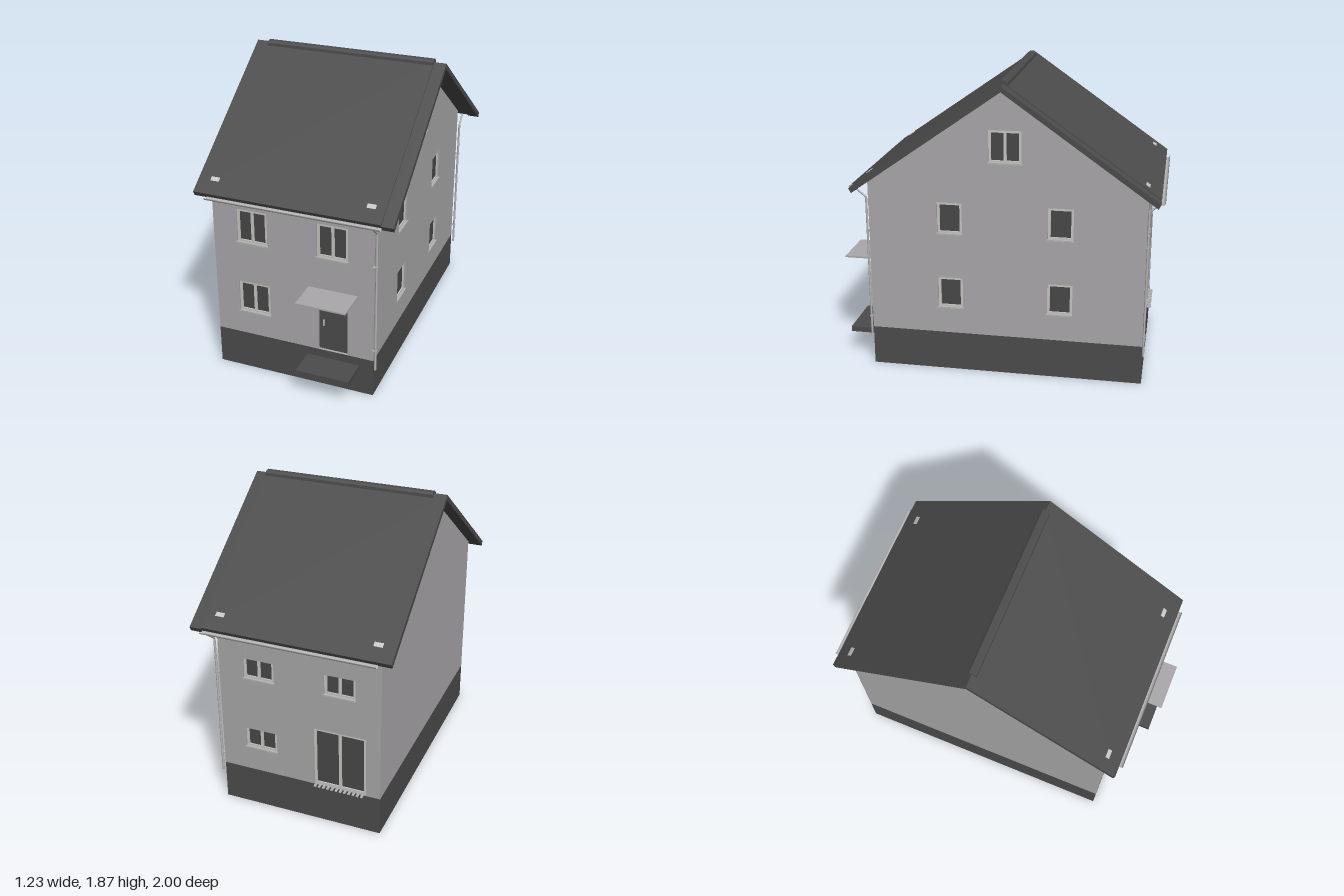
import * as THREE from 'three';

const mat = (name, color, side = THREE.FrontSide) => {
  const m = new THREE.MeshStandardMaterial({ color, side });
  m.name = name;
  return m;
};

export function createModel() {
  const plaster = mat('plaster', 0xaaa8aa);
  const dark = mat('dark grey', 0x4c4c4c);
  const glass = mat('glass', 0x484848);
  const frameMat = mat('window frame', 0xc6c6c2);
  const metal = mat('zinc', 0xb4b4b4, THREE.DoubleSide);

  const house = new THREE.Group();
  house.name = 'house';
  const add = (parent, name, geo, m, x = 0, y = 0, z = 0) => {
    const mesh = new THREE.Mesh(geo, m);
    mesh.name = name;
    mesh.position.set(x, y, z);
    parent.add(mesh);
    return mesh;
  };
  // box given by its extents
  const block = (parent, name, m, x0, x1, y0, y1, z0, z1) =>
    add(parent, name, new THREE.BoxGeometry(x1 - x0, y1 - y0, z1 - z0), m,
      (x0 + x1) / 2, (y0 + y1) / 2, (z0 + z1) / 2);
  const poly = (pts) => new THREE.Shape(pts.map(([x, y]) => new THREE.Vector2(x, y)));
  const rect = (x0, x1, y0, y1) => poly([[x0, y0], [x1, y0], [x1, y1], [x0, y1]]);
  const extrude = (shape, depth) => new THREE.ExtrudeGeometry(shape, { depth, bevelEnabled: false });

  const X0 = -0.54, X1 = 0.48, Z0 = -0.9, Z1 = 0.8, BASE = 0.25, RIDGE = -0.05;

  // plinth
  block(house, 'plinth', dark, X0, X1, 0, BASE, Z0, Z1);

  // window or glazed door set back in its opening, in wall coordinates
  const RECESS = 0.018;
  function addWindow(wall, { x0, x1, y0, y1, panes = 2, shutter = false, sill = true }) {
    const g = new THREE.Group();
    g.name = 'window';
    wall.add(g);
    const b = 0.016, mull = 0.018;
    const frame = rect(x0, x1, y0, y1);
    const pw = (x1 - x0 - 2 * b - (panes - 1) * mull) / panes;
    for (let i = 0; i < panes; i++) {
      const px = x0 + b + i * (pw + mull);
      frame.holes.push(rect(px, px + pw, y0 + b, y1 - b));
    }
    add(g, 'frame', extrude(frame, 0.01), frameMat, 0, 0, -RECESS);
    block(g, 'panes', glass, x0, x1, y0, y1, -RECESS - 0.006, -RECESS + 0.002);
    if (shutter) block(g, 'rollerShutter', plaster, x0, x1, y1 - (y1 - y0) * 0.42, y1, -RECESS, -0.004);
    if (sill) block(g, 'sill', metal, x0 - 0.006, x1 + 0.006, y0 - 0.006, y0 + 0.004, -RECESS, 0.008);
  }

  // wall panel with openings; outer face lies on local z = 0
  function addWall(name, outline, openings, pos, turn) {
    const g = new THREE.Group();
    g.name = name;
    g.position.set(...pos);
    g.rotation.y = turn;
    house.add(g);
    const shape = poly(outline);
    openings.forEach((o) => shape.holes.push(rect(o.x0, o.x1, o.y0, o.y1)));
    add(g, 'wallPanel', extrude(shape, 0.04), plaster, 0, 0, -0.04);
    openings.filter((o) => !o.door).forEach((o) => addWindow(g, o));
    return g;
  }
  const open = (x0, x1, y0, y1, extra = {}) => ({ x0, x1, y0, y1, ...extra });

  const EAVE = 1.235;
  const long = (a, b) => [[a, BASE], [b, BASE], [b, EAVE], [a, EAVE]];
  const gable = (a, b, mid) => [[a, BASE], [b, BASE], [b, EAVE], [mid, 1.835], [a, EAVE]];

  const front = addWall('frontWall', long(X0, X1), [
    open(-0.385, -0.19, 0.89, 1.11),
    open(0.125, 0.32, 0.89, 1.11),
    open(-0.39, -0.185, 0.41, 0.62),
    open(0.13, 0.315, 0.252, 0.615, { door: true }),
  ], [0, 0, Z1], 0);

  const back = addWall('backWall', long(-X1, -X0), [
    open(-0.32, -0.125, 0.89, 1.11, { shutter: true }),
    open(0.19, 0.385, 0.89, 1.11, { shutter: true }),
    open(-0.325, -0.12, 0.41, 0.63, { shutter: true }),
    open(0.12, 0.45, 0.252, 0.645, { sill: false }),
  ], [0, 0, Z0], Math.PI);

  const sideWindows = [open(-0.15 + 0.1, 0.15, 1.365, 1.565)];
  for (const [y0, y1] of [[0.905, 1.105], [0.42, 0.62]])
    for (const x0 of [-0.37, 0.31])
      sideWindows.push(open(x0, x0 + 0.155, y0, y1, { panes: 1 }));
  addWall('windowGable', gable(-Z1, -Z0, -RIDGE), sideWindows, [X1, 0, 0], Math.PI / 2);
  addWall('blankGable', gable(Z0, Z1, RIDGE), [], [X0, 0, 0], -Math.PI / 2);

  // entrance: door, handle, canopy and step
  block(front, 'frontDoor', dark, 0.13, 0.315, 0.252, 0.615, -0.03, -0.014);
  block(front, 'doorHandle', metal, 0.157, 0.165, 0.42, 0.46, -0.014, -0.004);
  block(house, 'canopy', plaster, 0.07, 0.38, 0.67, 0.68, Z1, 1.0);
  block(house, 'step', dark, 0.055, 0.39, 0.16, 0.195, Z1, 0.98);

  // slatted threshold under the terrace door
  for (let i = 0; i < 12; i++) {
    const x = 0.125 + i * 0.027;
    block(back, 'thresholdSlat', metal, x, x + 0.014, 0.246, 0.252, 0, 0.025);
  }

  // roof: chevron profile run along x
  function ridgeRun(name, pts, x0, x1) {
    const outline = [...pts, ...pts.slice().reverse().filter(([u]) => u !== 0).map(([u, y]) => [-u, y])];
    const geo = extrude(poly(outline), x1 - x0);
    geo.rotateY(Math.PI / 2);
    add(house, name, geo, dark, x0, 0, RIDGE);
  }
  const section = (d) => poly([
    [0, 1.86 - d], [-0.925, 1.213 - d], [-0.91, 1.184 - d], [0, 1.825 - d],
    [0.91, 1.184 - d], [0.925, 1.213 - d],
  ]);
  const roofPart = (name, x0, x1, d) => {
    const geo = extrude(section(d), x1 - x0);
    geo.rotateY(Math.PI / 2);
    add(house, name, geo, dark, x0, 0, RIDGE);
  };
  roofPart('roof', -0.62, 0.54, 0);
  roofPart('verge', 0.54, 0.613, 0.008);
  ridgeRun('ridgeCap', [[0.03, 1.84], [0.028, 1.858], [0.014, 1.87]], -0.54, 0.54);

  // bar between two points
  function pipe(name, a, b, r) {
    const p = new THREE.Vector3(...a), q = new THREE.Vector3(...b);
    const d = q.clone().sub(p);
    const mesh = add(house, name, new THREE.CylinderGeometry(r, r, d.length(), 10), metal);
    mesh.position.copy(p).add(q).multiplyScalar(0.5);
    mesh.quaternion.setFromUnitVectors(new THREE.Vector3(0, 1, 0), d.normalize());
  }

  // gutters, downpipes and roof plates on both eaves
  for (const s of [1, -1]) {
    const wallZ = RIDGE + s * 0.856, gutterZ = RIDGE + s * 0.93;
    const gutter = new THREE.CylinderGeometry(0.018, 0.018, 1.08, 12, 1, true, Math.PI, Math.PI);
    gutter.rotateZ(Math.PI / 2);
    add(house, 'gutter', gutter, metal, 0, 1.195, gutterZ);
    pipe('downpipeElbow', [0.495, 1.18, gutterZ], [0.495, 1.12, wallZ], 0.006);
    pipe('downpipe', [0.495, 1.122, wallZ], [0.495, 0.195, wallZ], 0.007);
    for (const y of [0.33, 0.9])
      block(house, 'pipeClamp', metal, 0.475, 0.503, y - 0.004, y + 0.004, wallZ - 0.009, wallZ + 0.009);
    for (const x of [-0.515, 0.455]) {
      const plate = add(house, 'roofPlate', new THREE.BoxGeometry(0.054, 0.008, 0.028), frameMat,
        x, 1.86 - 0.7 * 0.84, RIDGE + s * 0.84);
      plate.rotation.x = s * Math.atan(0.7);
    }
  }

  return house;
}
